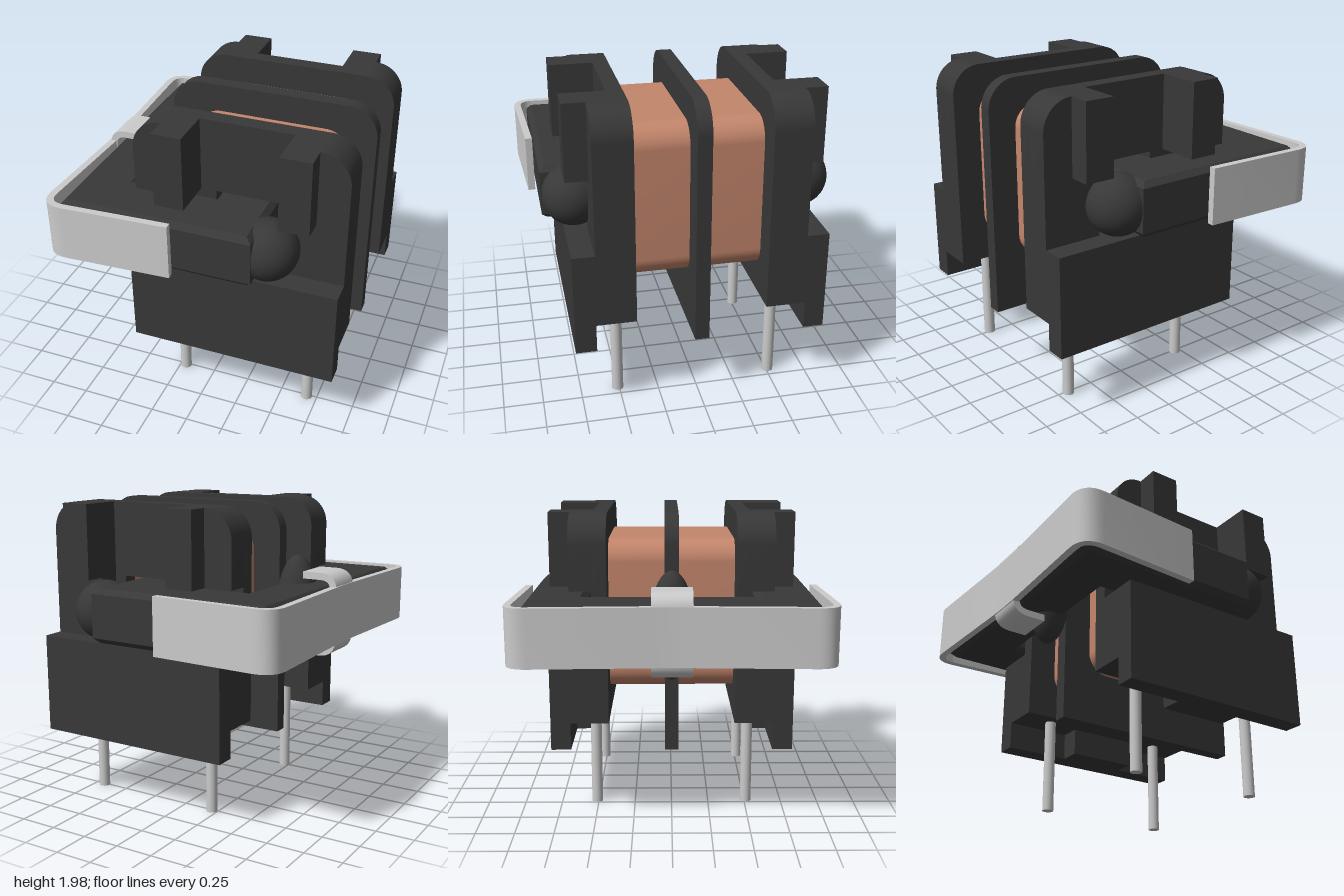
import * as THREE from 'three';
import { toCreasedNormals } from 'three/addons/utils/BufferGeometryUtils.js';

const plastic = new THREE.MeshStandardMaterial({ color: 0x383838 });
const copper = new THREE.MeshStandardMaterial({ color: 0xc4866c });
const metal = new THREE.MeshStandardMaterial({ color: 0xcccccc });

// Rectangle with corner radii: bottom left, bottom right, top right, top left
function rect(x0, x1, y0, y1, [bl, br, tr, tl] = [0, 0, 0, 0]) {
  const s = new THREE.Shape();
  const corner = (x, y, r, a) => {
    if (r) s.absarc(x, y, r, a, a + Math.PI / 2, false);
    else s.lineTo(x, y);
  };
  s.moveTo(x0 + bl, y0);
  corner(x1 - br, y0 + br, br, -Math.PI / 2);
  corner(x1 - tr, y1 - tr, tr, 0);
  corner(x0 + tl, y1 - tl, tl, Math.PI / 2);
  corner(x0 + bl, y0 + bl, bl, Math.PI);
  return s;
}

function withHole(shape, ...size) {
  shape.holes.push(rect(...size));
  return shape;
}

function extrude(shape, depth, options = {}) {
  const geo = new THREE.ExtrudeGeometry(shape, { depth, bevelEnabled: false, curveSegments: 10, ...options });
  return toCreasedNormals(geo, 0.5);
}

// Bent strip of constant thickness; each inner point is a corner filleted by r
function strip(points, thickness, r) {
  const p = points.map(([x, y]) => new THREE.Vector2(x, y));
  const path = new THREE.Path();
  path.moveTo(p[0].x, p[0].y);
  for (let i = 1; i < p.length - 1; i++) {
    const toward = (q) => q.clone().sub(p[i]).setLength(r).add(p[i]);
    const a = toward(p[i - 1]), b = toward(p[i + 1]);
    path.lineTo(a.x, a.y);
    path.quadraticCurveTo(p[i].x, p[i].y, b.x, b.y);
  }
  path.lineTo(p.at(-1).x, p.at(-1).y);
  const line = path.getPoints(8);
  const side = (k) => line.map((q, i) => {
    const t = line[Math.min(i + 1, line.length - 1)].clone().sub(line[Math.max(i - 1, 0)]).normalize();
    return new THREE.Vector2(q.x - t.y * k, q.y + t.x * k);
  });
  return new THREE.Shape([...side(thickness / 2), ...side(-thickness / 2).reverse()]);
}

export function createModel() {
  const model = new THREE.Group();
  model.name = 'transformer';
  const add = (name, geo, material, parent = model) => {
    const mesh = new THREE.Mesh(geo, material);
    mesh.name = name;
    parent.add(mesh);
    return mesh;
  };

  const legHole = [0.04, 0.45, 1.1, 1.5];
  const R = 0.19;

  // Winding and the divider in its middle
  const windingShape = withHole(rect(-0.25, 0.73, 0.81, 1.8, [0.14, 0.14, 0.14, 0.14]), ...legHole);
  for (const s of [1, -1]) {
    const geo = extrude(windingShape, 0.365).translate(0, 0, s > 0 ? 0.045 : -0.41);
    add(s > 0 ? 'frontWinding' : 'backWinding', geo, copper);
  }
  const divider = withHole(rect(-0.44, 0.91, 0.45, 1.98, [0, 0, R, R]), ...legHole);
  add('divider', extrude(divider, 0.09).translate(0, 0, -0.045), plastic);

  // Bobbin ends with ears, ribs, pin bases and pins
  for (const s of [1, -1]) {
    const end = new THREE.Group();
    end.name = s > 0 ? 'frontBobbinEnd' : 'backBobbinEnd';
    model.add(end);
    const slab = (name, shape, z0, z1) =>
      add(name, extrude(shape, z1 - z0).translate(0, 0, s > 0 ? z0 : -z1), plastic, end);

    slab('flange', withHole(rect(-0.44, 0.91, 1.1, 1.98, [0, 0, R, R]), ...legHole), 0.41, 0.51);
    slab('leftEar', rect(0.53, 0.91, 1.1, 1.98, [0, 0, R, 0]), 0.51, 0.65);
    slab('rightEar', rect(-0.44, -0.06, 1.5, 1.98, [0, 0, 0, R]), 0.51, 0.65);
    for (const x of [-0.25, 0.53]) slab('rib', rect(x, x + 0.19, 1.5, 1.98), 0.65, 0.79);
    slab('pinBase', rect(-0.44, 0.91, 0.63, 1.1), 0.41, 0.79);
    slab('baseWall', rect(-0.44, 0.91, 0.45, 0.63), 0.66, 0.79);
    slab('baseBlock', rect(0, 0.47, 0.45, 0.63), 0.52, 0.66);

    for (const x of [-0.21, 0.68]) {
      const pin = add('pin', new THREE.CylinderGeometry(0.037, 0.037, 0.66, 24), metal, end);
      pin.position.set(x, 0.33, s * 0.51);
    }
    const glue = add('cornerGlue', new THREE.SphereGeometry(0.194, 32, 24), plastic, end);
    glue.position.set(0.45, 1.307, s * 0.72);
  }

  // Closed rectangular core with chamfered edges
  const bevel = 0.035;
  const coreShape = withHole(rect(-0.83, 0.41, -0.915, 0.915), -0.48, 0.05, -0.535, 0.535);
  const core = extrude(coreShape, 0.35 - 2 * bevel, {
    bevelEnabled: true, bevelSize: bevel, bevelThickness: bevel, bevelOffset: -bevel, bevelSegments: 1,
  });
  add('core', core.rotateX(Math.PI / 2).translate(0, 1.48 - bevel, 0), plastic);

  // Glue bead over the core joint
  const bead = add('jointGlue', new THREE.SphereGeometry(1, 32, 24), plastic);
  bead.scale.set(0.135, 0.345, 0.14);
  bead.position.set(-0.55, 1.305, 0);

  // Spring clip wrapped around the core, with hooks over its top and bottom
  const band = strip([[-0.09, 0.945], [-0.9, 0.985], [-0.86, 0], [-0.9, -0.985], [-0.09, -0.945]], 0.045, 0.13);
  add('clipBand', extrude(band, 0.365).rotateX(Math.PI / 2).translate(0, 1.485, 0), metal);
  const hook = strip([[-0.65, 1.06], [-0.86, 1.06], [-0.86, 1.543], [-0.65, 1.543]], 0.045, 0.09);
  add('clipHooks', extrude(hook, 0.25).translate(0, 0, -0.125), metal);

  return model;
}
